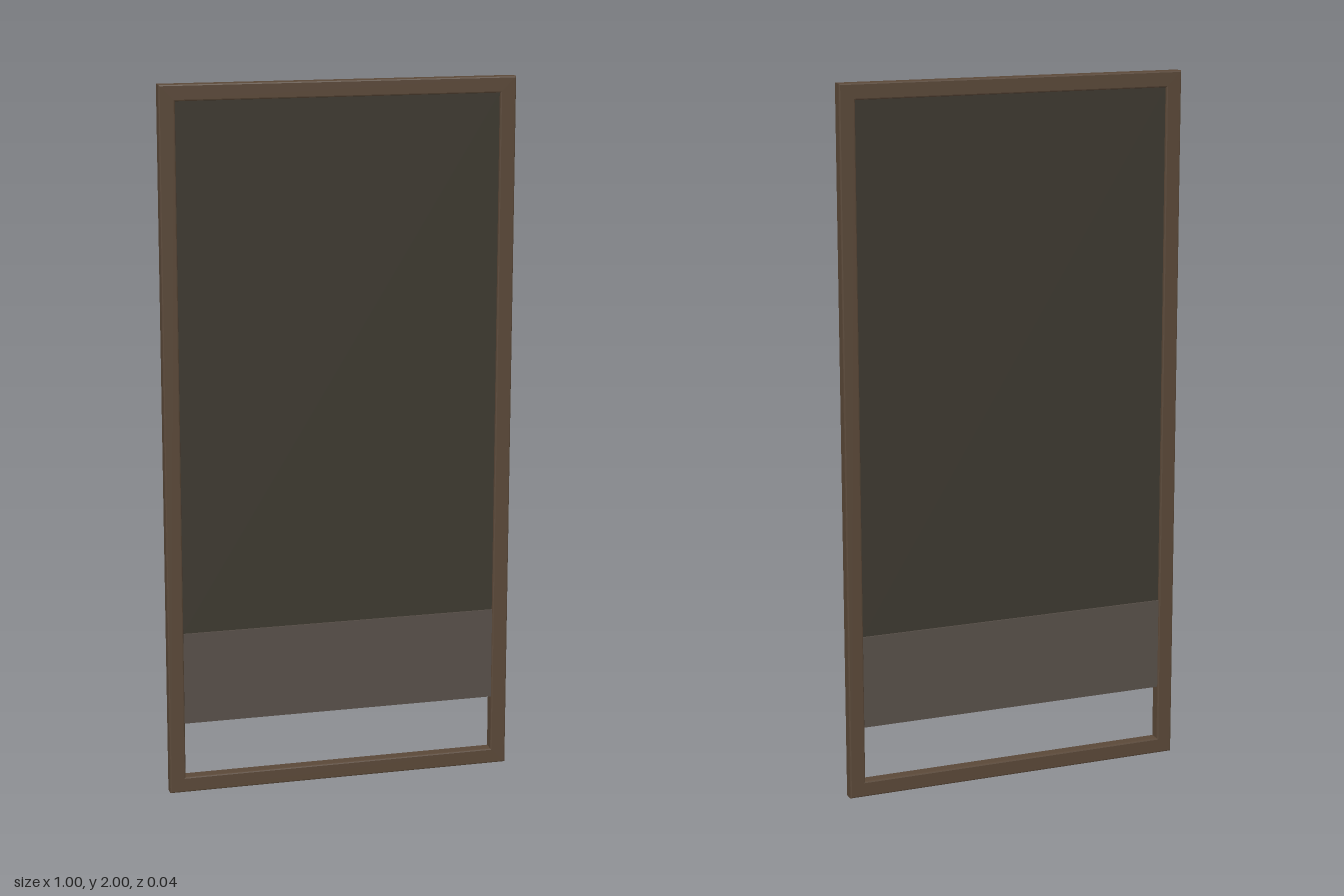
import * as THREE from 'three';

const WIDTH = 0.996, HEIGHT = 2, DEPTH = 0.036;
const BAR = 0.045, BEVEL = 0.004;

function rectangle(path, x0, y0, x1, y1) {
  path.moveTo(x0, y0);
  path.lineTo(x1, y0);
  path.lineTo(x1, y1);
  path.lineTo(x0, y1);
  path.closePath();
  return path;
}

function panel(name, bottom, top, depth, color) {
  const mesh = new THREE.Mesh(
    new THREE.BoxGeometry(WIDTH - 2 * BAR, top - bottom, depth),
    new THREE.MeshStandardMaterial({ color })
  );
  mesh.position.y = (bottom + top) / 2;
  mesh.name = name;
  return mesh;
}

export function createModel() {
  const group = new THREE.Group();
  group.name = 'framedScreen';

  // Rectangular surround with softened edges
  const outline = rectangle(new THREE.Shape(), -WIDTH / 2, 0, WIDTH / 2, HEIGHT);
  outline.holes.push(rectangle(new THREE.Path(),
    -WIDTH / 2 + BAR, BAR, WIDTH / 2 - BAR, HEIGHT - BAR));
  const frameGeometry = new THREE.ExtrudeGeometry(outline, {
    depth: DEPTH - 2 * BEVEL,
    bevelEnabled: true,
    bevelThickness: BEVEL,
    bevelSize: BEVEL,
    bevelOffset: -BEVEL,
    bevelSegments: 2
  });
  frameGeometry.translate(0, 0, -DEPTH / 2 + BEVEL);
  const frame = new THREE.Mesh(frameGeometry,
    new THREE.MeshStandardMaterial({ color: 0x5a4838 }));
  frame.name = 'frame';
  group.add(frame);

  // Dark main panel, recessed on both faces
  group.add(panel('mainPanel', 0.47, HEIGHT - BAR, 0.02, 0x3d3930));

  // Thicker lower band, leaving an open gap above the bottom rail
  group.add(panel('lowerPanel', 0.205, 0.47, 0.028, 0x585049));

  return group;
}
